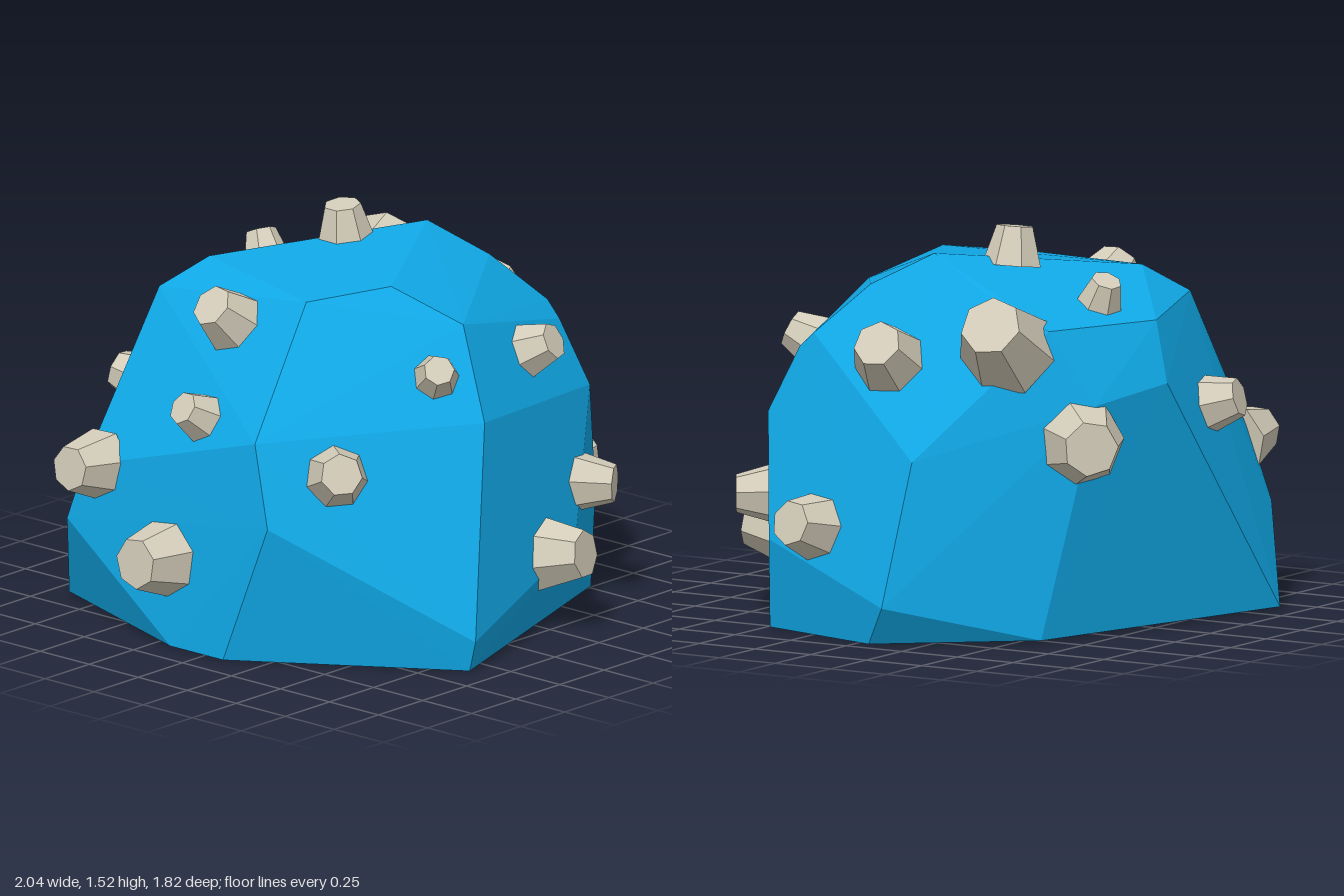
import * as THREE from 'three';
import { ConvexGeometry } from 'three/addons/geometries/ConvexGeometry.js';

// Corners of the faceted boulder [x, y, z]
const CORNERS = [
  // ground outline
  [-0.35, 0, 0.88], [0.77, 0, 0.49], [0.92, 0, -0.05], [0.55, 0.01, -0.59],
  [-0.63, 0.01, -0.91], [-0.87, 0, -0.18], [-0.87, 0, 0.09],
  // lower flanks
  [-0.35, 0.12, 0.91], [0.47, 0.28, 0.68], [0.84, 0.35, 0.45], [0.97, 0.15, -0.14],
  [-0.82, 0.38, -0.75], [-0.8, 0.6, -0.68], [-0.84, 0.55, 0.29],
  // shoulders
  [-0.11, 0.9, 0.74], [0.72, 0.82, 0.53], [0.85, 0.7, -0.2], [0.38, 0.9, -0.73],
  [0.04, 0.95, -0.83], [-0.8, 0.86, 0.19], [0.67, 1.07, 0.42], [0.68, 1.13, 0.35],
  // crown
  [-0.02, 1.23, 0.55], [-0.15, 1.36, 0.3], [-0.42, 1.32, 0.11], [0.53, 1.31, 0.19],
  [0.41, 1.43, -0.02], [0.45, 1.27, -0.33], [0.45, 1.18, -0.56], [-0.01, 1.18, -0.75],
  [-0.16, 1.22, -0.68], [-0.27, 1.34, -0.52], [-0.42, 1.23, -0.64],
];

// Barnacles: position [x, y, z] and base radius
const BARNACLES = [
  [-0.2, 1.08, 0.58, 0.095], [0.38, 1.05, 0.56, 0.115], [-0.61, 0.74, 0.44, 0.13],
  [0.28, 0.3, 0.78, 0.15], [0.61, 0.48, 0.64, 0.12], [0.91, 0.43, 0.24, 0.14],
  [-0.92, 0.34, -0.23, 0.16], [-0.86, 0.62, -0.62, 0.14], [-0.76, 0.9, -0.15, 0.105],
  [-0.5, 1.2, -0.2, 0.135], [-0.36, 0.82, -0.79, 0.12], [0.1, 1.26, -0.57, 0.095],
  [0.15, 1.43, -0.21, 0.115], [0.56, 1.14, -0.42, 0.19], [0.7, 1.07, 0.01, 0.15],
  [0.45, 0.76, -0.72, 0.17],
];

// Plane of the boulder facet lying under a point
function facetUnder(geometry, point) {
  const pos = geometry.attributes.position;
  const tri = new THREE.Triangle();
  const plane = new THREE.Plane();
  const best = new THREE.Plane();
  let bestDistance = -Infinity;
  for (let i = 0; i < pos.count; i += 3) {
    tri.setFromAttributeAndIndices(pos, i, i + 1, i + 2);
    if (tri.getArea() < 1e-3) continue;
    tri.getPlane(plane);
    const distance = plane.distanceToPoint(point);
    if (distance > bestDistance) {
      bestDistance = distance;
      best.copy(plane);
    }
  }
  return best;
}

export function createModel() {
  const group = new THREE.Group();
  group.name = 'barnacledBoulder';
  const stone = new THREE.MeshStandardMaterial({ color: 0x10a8e6, flatShading: true });
  const shell = new THREE.MeshStandardMaterial({ color: 0xd3ccb9, flatShading: true });

  const rockGeometry = new ConvexGeometry(CORNERS.map((c) => new THREE.Vector3(...c)));
  const rock = new THREE.Mesh(rockGeometry, stone);
  rock.name = 'boulder';
  group.add(rock);

  // Tapered seven-sided shells standing on the facets
  const up = new THREE.Vector3(0, 1, 0);
  const shellGeometry = new THREE.CylinderGeometry(0.62, 1, 1.3, 7);
  shellGeometry.translate(0, 0.4, 0);
  BARNACLES.forEach(([x, y, z, r], i) => {
    const point = new THREE.Vector3(x, y, z);
    const facet = facetUnder(rockGeometry, point);
    const barnacle = new THREE.Mesh(shellGeometry, shell);
    barnacle.name = `barnacle${i + 1}`;
    facet.projectPoint(point, barnacle.position);
    barnacle.quaternion.setFromUnitVectors(up, facet.normal);
    barnacle.rotateY(i * 1.7);
    barnacle.scale.setScalar(r);
    group.add(barnacle);
  });
  return group;
}
